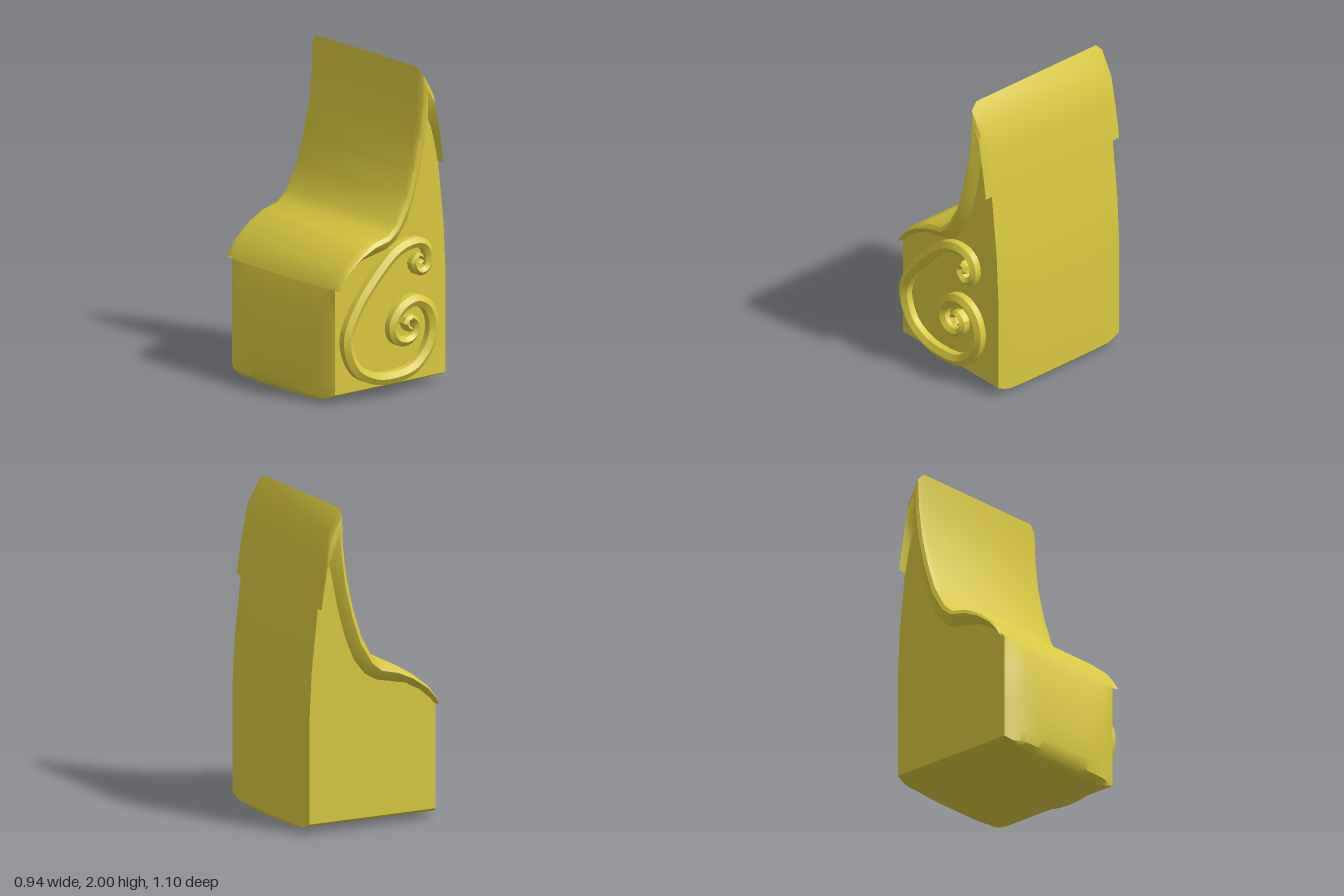
import * as THREE from 'three';
import { toCreasedNormals } from 'three/addons/utils/BufferGeometryUtils.js';

// Matching points along the crest of the rim and along its lower hem, [x, y]
const crest = [
  [-0.41, 0.73], [-0.39, 0.77], [-0.34, 0.84], [-0.24, 0.92], [-0.14, 0.98], [-0.02, 1.01],
  [0.04, 1.07], [0.12, 1.22], [0.175, 1.4], [0.22, 1.6], [0.243, 1.8], [0.248, 2.0],
  [0.335, 1.85], [0.37, 1.65], [0.39, 1.52], [0.405, 1.4],
];
const hem = [
  [-0.4, 0.715], [-0.37, 0.75], [-0.3, 0.81], [-0.2, 0.865], [-0.1, 0.885], [0.0, 0.905],
  [0.08, 0.95], [0.16, 1.05], [0.22, 1.2], [0.265, 1.36], [0.3, 1.53], [0.325, 1.64],
  [0.345, 1.6], [0.365, 1.53], [0.382, 1.46], [0.395, 1.39],
];
const mix = (a, b, t) => [a[0] + (b[0] - a[0]) * t, a[1] + (b[1] - a[1]) * t];

// Solid body: extruded side profile, bulged at the toe, heel and underside
function bodyGeometry() {
  const zBack = -0.5, depth = 0.97, mid = zBack + depth / 2;
  const top = crest.map((p, i) => mix(p, hem[i], 0.5)).reverse();
  const outline = [
    [-0.43, 0.02], [-0.4, 0], [0.44, 0], [0.47, 0.03], [0.47, 0.7], [0.443, 1.0],
    ...top, [-0.41, 0.71], [-0.45, 0.55], [-0.47, 0.3], [-0.475, 0.12], [-0.46, 0.05],
  ];
  const shape = new THREE.Shape(outline.map(([x, y]) => new THREE.Vector2(x, y)));
  const geo = new THREE.ExtrudeGeometry(shape, { depth, steps: 20, bevelEnabled: false });
  geo.translate(0, 0, zBack);
  const pos = geo.attributes.position;
  for (let i = 0; i < pos.count; i++) {
    const t = Math.pow((pos.getZ(i) - mid) / (depth / 2), 4);
    const x = Math.max(pos.getX(i), -0.475 + 0.07 * t);
    pos.setX(i, Math.min(x, 0.47 - 0.012 * t));
    pos.setY(i, Math.max(pos.getY(i), 0.065 * t));
  }
  return toCreasedNormals(geo, 0.6);
}

// Rim: swept over the crest, folding down both sides to the hem
function rimGeometry() {
  // [share of the way from crest to hem, z]
  const section = [
    [1, -0.495], [0.65, -0.53], [0.35, -0.55], [0.12, -0.54], [0, -0.5],
    [0, 0.46], [0.12, 0.505], [0.35, 0.52], [0.65, 0.5], [1, 0.465],
  ];
  const n = section.length, positions = [], index = [];
  crest.forEach((p, i) => {
    for (const [t, z] of section) positions.push(...mix(p, hem[i], t), z);
  });
  for (let i = 0; i < crest.length - 1; i++) {
    for (let j = 0; j < n - 1; j++) {
      const a = i * n + j, b = a + n;
      index.push(a, a + 1, b, a + 1, b + 1, b);
    }
  }
  const geo = new THREE.BufferGeometry();
  geo.setAttribute('position', new THREE.Float32BufferAttribute(positions, 3));
  geo.setIndex(index);
  return toCreasedNormals(geo, 0.7);
}

// Scroll: one raised strand curling into a small and a large spiral
function scrollGeometry() {
  const path = [
    [0.205, 0.795], [0.235, 0.82], [0.2, 0.85], [0.165, 0.8], [0.21, 0.74], [0.275, 0.765],
    [0.285, 0.85], [0.25, 0.91], [0.17, 0.93], [0.05, 0.9], [-0.1, 0.78], [-0.27, 0.58],
    [-0.345, 0.4], [-0.28, 0.22], [-0.15, 0.14], [0, 0.12], [0.17, 0.15], [0.285, 0.26],
    [0.325, 0.4], [0.28, 0.52], [0.18, 0.57], [0.07, 0.53], [0.005, 0.43], [0.03, 0.355],
    [0.1, 0.325], [0.175, 0.355], [0.19, 0.43], [0.14, 0.47], [0.1, 0.43], [0.14, 0.395],
  ];
  const curve = new THREE.CatmullRomCurve3(path.map(([x, y]) => new THREE.Vector3(x, y, 0.505)));
  const steps = 110, sides = 6;
  const geo = new THREE.TubeGeometry(curve, steps, 0.042, sides);
  // Thin the strand toward both tips
  const pos = geo.attributes.position, v = new THREE.Vector3();
  for (let i = 0; i <= steps; i++) {
    const u = i / steps, c = curve.getPointAt(u);
    const s = Math.min(1, 0.4 + u * 3.2, 0.45 + (1 - u) * 3);
    for (let j = 0; j <= sides; j++) {
      const k = i * (sides + 1) + j;
      v.fromBufferAttribute(pos, k).sub(c);
      v.x *= s;
      v.y *= s;
      v.add(c);
      pos.setXYZ(k, v.x, v.y, v.z);
    }
  }
  return toCreasedNormals(geo, 0.5);
}

export function createModel() {
  const group = new THREE.Group();
  const add = (name, geo, side = THREE.FrontSide) => {
    const mesh = new THREE.Mesh(geo, new THREE.MeshStandardMaterial({ color: 0xd9c83f, side }));
    mesh.name = name;
    group.add(mesh);
  };
  add('body', bodyGeometry());
  add('rim', rimGeometry(), THREE.DoubleSide);
  add('scroll', scrollGeometry(), THREE.DoubleSide);
  return group;
}
